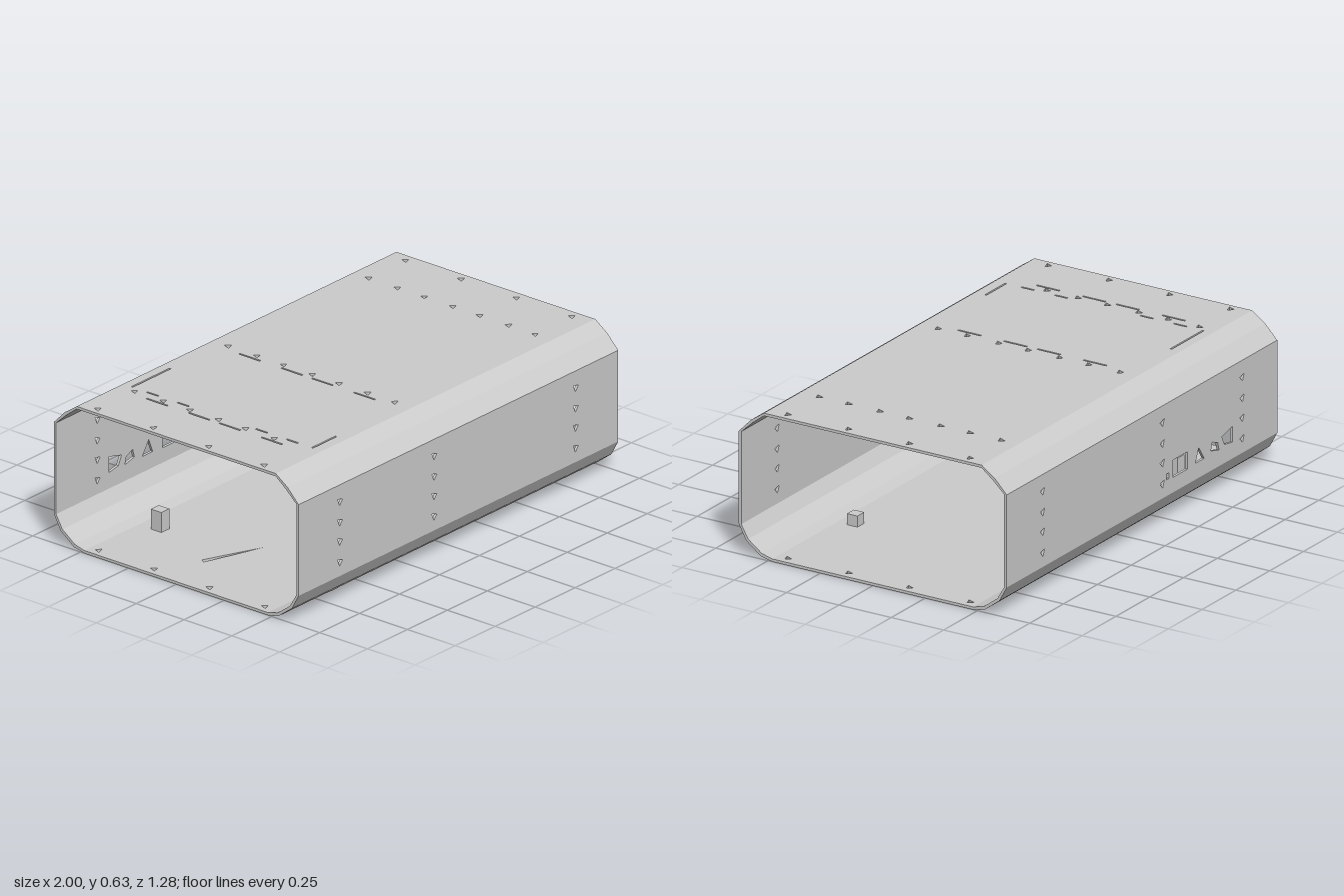
import * as THREE from 'three';

const T = 0.012, H = 0.633, D = 0.64;
const material = new THREE.MeshStandardMaterial({ color: 0xcccccc, flatShading: true, side: THREE.DoubleSide });

const poly = (pts) => pts.map(([x, y]) => new THREE.Vector2(x, y));
const rect = (x0, y0, x1, y1) => [[x0, y0], [x1, y0], [x1, y1], [x0, y1]];
// small triangular screw hole
const screw = (x, y, r = 0.016) => [[x - r, y + r], [x + r, y + 0.4 * r], [x - 0.2 * r, y - r]];
const column = (x, list) => list.map((y) => screw(x, y));

// flat sheet spanning the full length, with cut-outs
function sheet(y0, y1, holes) {
  const shape = new THREE.Shape(poly(rect(-1, y0, 1, y1)));
  holes.forEach((h) => shape.holes.push(new THREE.Path(poly(h))));
  return new THREE.ExtrudeGeometry(shape, { depth: T, bevelEnabled: false });
}

export function createModel() {
  const group = new THREE.Group();
  const add = (name, geometry, x = 0, y = 0, z = 0) => {
    const mesh = new THREE.Mesh(geometry, material);
    mesh.name = name;
    mesh.position.set(x, y, z);
    group.add(mesh);
  };

  // screw holes shared by the panels
  const wide = [-0.44, -0.15, 0.14, 0.43];
  const dense = [-0.44, -0.29, -0.15, 0, 0.14, 0.29, 0.43];
  const wallRows = [0.19, 0.28, 0.365, 0.455];
  const wallHoles = [-0.74, -0.15, 0.735].flatMap((x) => column(x, wallRows));

  // top panel: screw rows and the broken slit outline of the hatch
  const hatch = [
    rect(-0.71, -0.478, -0.47, -0.47), rect(-0.71, 0.465, -0.56, 0.473),
  ];
  [-0.3, -0.08, 0.08, 0.3].forEach((z) => {
    hatch.push(rect(-0.764, z - 0.055, -0.756, z + 0.055));
    hatch.push(rect(-0.184, z - 0.055, -0.176, z + 0.055));
  });
  [-0.365, -0.205, 0.205, 0.365].forEach((z) => {
    hatch.push(rect(-0.714, z - 0.03, -0.706, z + 0.03));
  });
  const topHoles = [
    ...column(-0.965, wide), ...column(-0.735, dense.slice(0, 6)),
    ...column(-0.15, dense), ...column(0.73, dense), ...column(0.96, wide),
  ];
  add('topPanel', sheet(-0.52, 0.52, [...topHoles, ...hatch]).rotateX(Math.PI / 2), 0, H, 0);

  // floor with screw holes and one slanted slit
  const floorHoles = [
    ...column(-0.96, wide), ...column(0.96, wide),
    [[-0.52, 0.05], [-0.78, -0.04], [-0.77, -0.06]],
  ];
  add('floorPanel', sheet(-0.48, 0.48, floorHoles).rotateX(Math.PI / 2), 0, T, 0);

  // side walls, the rear one with connector openings
  add('frontWall', sheet(0.13, 0.53, wallHoles), 0, 0, D - T);
  const ports = [
    rect(-0.335, 0.195, -0.23, 0.27),
    [[-0.46, 0.2], [-0.395, 0.2], [-0.42, 0.26]],
    [[-0.57, 0.2], [-0.51, 0.215], [-0.52, 0.25], [-0.56, 0.235]],
    [[-0.67, 0.2], [-0.61, 0.21], [-0.59, 0.25], [-0.67, 0.27]],
    rect(-0.2, 0.2, -0.18, 0.225),
  ];
  add('rearWall', sheet(0.13, 0.53, [...wallHoles, ...ports]), 0, 0, -D);

  // faceted corner strips: outer then inner outline, as [z, y]
  const topCorner = [
    [0.52, H], [0.582, 0.59], [D, 0.53],
    [D - T, 0.53], [0.573, 0.58], [0.52, H - T],
  ];
  const bottomCorner = [
    [D, 0.13], [0.605, 0.065], [0.535, 0.012], [0.48, 0],
    [0.48, T], [0.53, 0.025], [0.595, 0.073], [D - T, 0.13],
  ];
  for (const [name, outline] of [['topCorner', topCorner], ['bottomCorner', bottomCorner]]) {
    for (const side of [1, -1]) {
      const shape = new THREE.Shape(poly(outline.map(([z, y]) => [-z * side, y])));
      const strip = new THREE.ExtrudeGeometry(shape, { depth: 2, bevelEnabled: false });
      add(side > 0 ? name + 'Front' : name + 'Rear', strip.rotateY(Math.PI / 2), -1, 0, 0);
    }
  }

  // mounting posts on the floor: x, z, depth, height
  for (const [x, z, d, h] of [
    [-0.64, 0.488, 0.08, 0.1], [0.5, 0.405, 0.05, 0.06],
    [0.5, -0.42, 0.04, 0.11], [-0.64, -0.385, 0.055, 0.1],
  ]) {
    add('mountingPost', new THREE.BoxGeometry(0.05, h - 0.005, d), x, (h + 0.005) / 2, z);
  }
  return group;
}
